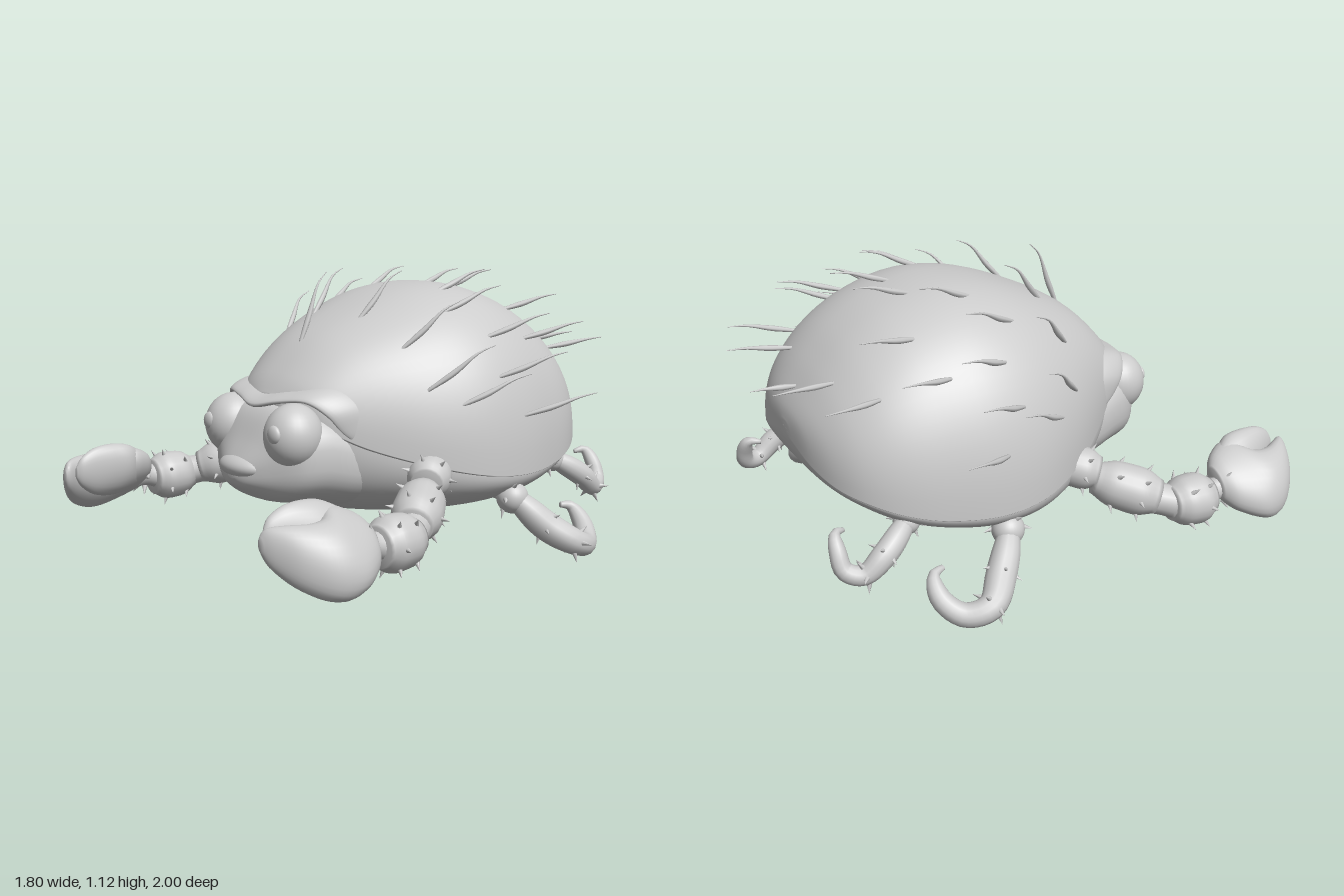
import * as THREE from 'three';

const V = (x, y, z) => new THREE.Vector3(x, y, z);
const grey = new THREE.MeshStandardMaterial({ color: 0xcccccc });
const POWER = 2.35; // roundness of the shell cross-sections

// Smooth interpolation through the rows of a table, u from 0 to 1
function sample(rows, u) {
  const last = rows.length - 1;
  const i = Math.min(Math.floor(u * last), last - 1);
  const t = u * last - i;
  const row = k => rows[THREE.MathUtils.clamp(k, 0, last)];
  return rows[0].map((_, c) => {
    const p = row(i - 1)[c], a = row(i)[c], b = row(i + 1)[c], q = row(i + 2)[c];
    const m = (b - p) / 2, n = (q - a) / 2;
    return a + t * (m + t * (3 * (b - a) - 2 * m - n + t * (2 * (a - b) + m + n)));
  });
}

// Closed skin over rings of points, with a cap at each end
function skin(rings) {
  const n = rings[0].length, pos = [], idx = [], count = rings.length;
  for (const ring of rings) for (const p of ring) pos.push(p.x, p.y, p.z);
  for (const ring of [rings[0], rings[count - 1]]) {
    const c = ring.reduce((s, p) => s.add(p), V(0, 0, 0)).divideScalar(n);
    pos.push(c.x, c.y, c.z);
  }
  for (let j = 0; j < n; j++) {
    const k = (j + 1) % n, end = (count - 1) * n;
    for (let i = 0; i < count - 1; i++) {
      const a = i * n + j, b = i * n + k;
      idx.push(a, b, a + n, b, b + n, a + n);
    }
    idx.push(count * n, k, j, count * n + 1, end + j, end + k);
  }
  const g = new THREE.BufferGeometry();
  g.setAttribute('position', new THREE.Float32BufferAttribute(pos, 3));
  g.setIndex(idx);
  g.computeVertexNormals();
  return g;
}

function add(parent, name, geometry) {
  const mesh = new THREE.Mesh(geometry, grey);
  mesh.name = name;
  parent.add(mesh);
  return mesh;
}

function ball(parent, name, [x, y, z], [rx, ry, rz]) {
  const mesh = add(parent, name, new THREE.SphereGeometry(1, 32, 20));
  mesh.position.set(x, y, z);
  mesh.scale.set(rx, ry, rz);
}

// Tube of changing radius along a smooth path
function sweep(points, radii, steps = 16, sides = 14) {
  const curve = new THREE.CatmullRomCurve3(points);
  const f = curve.computeFrenetFrames(steps, false);
  const rows = radii.map(r => [r]);
  return skin(Array.from({ length: steps + 1 }, (_, i) => {
    const c = curve.getPointAt(i / steps), r = sample(rows, i / steps)[0];
    return Array.from({ length: sides }, (_, j) => {
      const a = j / sides * Math.PI * 2;
      return c.clone().addScaledVector(f.normals[i], r * Math.cos(a))
        .addScaledVector(f.binormals[i], r * Math.sin(a));
    });
  }));
}

// Loft along z; section(row) gives centre, half width, height above and depth below
function loft(table, section, power, steps = 40, sides = 48) {
  const e = 2 / power, bend = v => Math.sign(v) * Math.abs(v) ** e;
  return skin(Array.from({ length: steps + 1 }, (_, i) => {
    const row = sample(table, i / steps);
    const { x = 0, y, w, up, down } = section(row);
    return Array.from({ length: sides }, (_, j) => {
      const a = j / sides * Math.PI * 2, s = bend(Math.sin(a));
      return V(x + w * bend(Math.cos(a)), y + s * (s > 0 ? up : down), row[0]);
    });
  }));
}

// Ring of thorns around a limb
function thorns(parent, centre, axis, radius, count, turn = 0) {
  const dir = axis.clone().normalize();
  const side = V(0, 1, 0).cross(dir).normalize();
  for (let i = 0; i < count; i++) {
    const out = side.clone().applyAxisAngle(dir, turn + i / count * Math.PI * 2);
    const thorn = add(parent, 'thorn', new THREE.ConeGeometry(0.012, 0.045, 7));
    thorn.position.copy(centre).addScaledVector(out, radius + 0.01);
    thorn.quaternion.setFromUnitVectors(V(0, 1, 0), out.addScaledVector(dir, 0.4).normalize());
  }
}

// Body stations: z, half width, top, shell rim, belly bottom
const BODY = [
  [-0.88, 0.04, 0.62, 0.57, 0.57], [-0.868, 0.2, 0.675, 0.52, 0.5], [-0.83, 0.34, 0.745, 0.48, 0.44],
  [-0.76, 0.45, 0.84, 0.45, 0.38], [-0.65, 0.535, 0.945, 0.41, 0.31], [-0.5, 0.595, 1.03, 0.375, 0.25],
  [-0.3, 0.637, 1.078, 0.36, 0.2], [-0.1, 0.62, 1.06, 0.375, 0.18], [0.1, 0.53, 0.99, 0.42, 0.185],
  [0.3, 0.385, 0.885, 0.49, 0.22], [0.44, 0.25, 0.755, 0.57, 0.28], [0.5, 0.1, 0.67, 0.6, 0.4]];

function shellHeight(x, z) {
  const i = Math.max(1, BODY.findIndex(r => r[0] >= z));
  const a = BODY[i - 1], b = BODY[i], t = (z - a[0]) / (b[0] - a[0]);
  const [, w, top, rim] = a.map((v, k) => v + t * (b[k] - v));
  return rim + (top - rim) * Math.max(0, 1 - (x / w) ** POWER) ** (1 / POWER);
}

// Curved bristle rooted in the shell and swept backwards
function bristle(parent, x, z) {
  const base = V(x, shellHeight(x, z) - 0.012, z);
  const rise = 0.115 + (z > 0 ? 0.5 : 0.12) * z;
  const back = Math.max(-0.25 + 0.35 * Math.max(0, z), -1 - z);
  const spread = x * (0.24 + 0.4 * Math.max(0, z));
  const at = (t, out, lift) => base.clone().add(V(spread * out, rise * lift, back * t));
  add(parent, 'bristle', sweep([base, at(0.35, 0.45, 0.4), at(0.7, 0.85, 0.85), at(1, 1, 1)],
    [0.007, 0.0115, 0.006, 0.0015], 12, 7));
}

function clawArm(side) {
  const arm = new THREE.Group();
  arm.name = 'clawArm';
  side.add(arm);
  const barrels = [
    [V(0.44, 0.405, 0.03), V(0.55, 0.365, 0.17), 0.082],
    [V(0.53, 0.335, 0.16), V(0.685, 0.265, 0.36), 0.094],
    [V(0.722, 0.245, 0.385), V(0.735, 0.24, 0.57), 0.1]];
  for (const [a, b, r] of barrels) {
    add(arm, 'armSegment', sweep([a, b], [0.66, 0.93, 1, 0.98, 0.72].map(k => k * r), 16, 20));
    const axis = b.clone().sub(a);
    thorns(arm, a.clone().lerp(b, 0.75), axis, r * 0.95, 7);
    thorns(arm, a.clone().lerp(b, 0.35), axis, r * 0.96, 4, 0.8);
  }
  add(arm, 'elbow', sweep([V(0.66, 0.27, 0.32), V(0.725, 0.245, 0.42)], [0.066, 0.062, 0.066], 8));
  add(arm, 'wrist', sweep([V(0.735, 0.245, 0.54), V(0.735, 0.265, 0.65)], [0.055, 0.045, 0.055], 8));
  // Pincer stations: z, x, half width, half height
  const pincer = {
    clawPalm: [[0.6, 0.735, 0.05, 0.045], [0.64, 0.74, 0.1, 0.075], [0.72, 0.75, 0.14, 0.102], [0.79, 0.793, 0.103, 0.113],
      [0.86, 0.787, 0.085, 0.108], [0.93, 0.745, 0.066, 0.09], [0.98, 0.695, 0.037, 0.06], [1, 0.675, 0.012, 0.02]],
    clawFinger: [[0.66, 0.695, 0.045, 0.07], [0.73, 0.675, 0.072, 0.095], [0.8, 0.667, 0.066, 0.105],
      [0.88, 0.655, 0.046, 0.095], [0.94, 0.645, 0.026, 0.06], [0.965, 0.645, 0.008, 0.02]]
  };
  // The pincer is tilted, its outer edge lower
  for (const [name, table] of Object.entries(pincer)) {
    const g = loft(table, ([, x, w, h]) => ({ x, y: 0.28, w, up: h, down: h }), 2.1, 28, 28);
    const p = g.attributes.position;
    for (let i = 0; i < p.count; i++) p.setY(i, p.getY(i) - 0.48 * (p.getX(i) - 0.74));
    g.computeVertexNormals();
    add(arm, name, g);
  }
  thorns(arm, V(0.735, 0.26, 0.63), V(0, 0, 1), 0.065, 6);
}

function hookLeg(side, name, points, size) {
  const leg = new THREE.Group();
  leg.name = name;
  side.add(leg);
  add(leg, 'hookedLimb', sweep(points, [0.75, 0.68, 0.95, 1, 0.85, 0.75, 0.62, 0.2].map(k => k * size), 36));
  const hip = points[1].clone().lerp(points[0], 0.1), r = size * 1.08;
  ball(leg, 'hip', hip.toArray(), [r, r, r]);
  thorns(leg, hip, points[1].clone().sub(points[0]), r, 6);
  for (const i of [2, 3]) thorns(leg, points[i], points[i + 1].clone().sub(points[i - 1]), size * 0.87, 5, i);
}

export function createModel() {
  const model = new THREE.Group();
  model.name = 'shelledCreature';

  // Shell and belly
  add(model, 'shell', loft(BODY, ([, w, top, rim]) => ({ y: rim, w, up: top - rim, down: 0.018 }), POWER, 56, 72));
  add(model, 'belly', loft(BODY, ([, w, , rim, bot]) => ({ y: rim, w: w * 0.975, up: 0.03, down: rim - bot }), 2.25, 56, 72));

  // Head stations: z, half width, top, bottom
  const head = [[0.15, 0.36, 0.6, 0.22], [0.3, 0.35, 0.62, 0.23], [0.42, 0.325, 0.65, 0.255], [0.5, 0.295, 0.64, 0.265],
    [0.55, 0.25, 0.6, 0.28], [0.6, 0.165, 0.51, 0.31], [0.64, 0.08, 0.44, 0.34], [0.655, 0.02, 0.4, 0.37]];
  add(model, 'head', loft(head, ([, w, t, b]) => ({ y: (t + b) / 2, w, up: (t - b) / 2, down: (t - b) / 2 }), 2.5));
  ball(model, 'muzzle', [0, 0.365, 0.46], [0.275, 0.06, 0.16]);
  ball(model, 'snout', [0, 0.41, 0.59], [0.13, 0.05, 0.08]);

  // Hooded brow running back into the shell: x, y, z of the front edge, thickness
  const half = [[0.355, 0.48, 0.27, 0.005], [0.335, 0.55, 0.37, 0.014], [0.312, 0.62, 0.43, 0.02],
    [0.24, 0.668, 0.48, 0.022], [0.12, 0.66, 0.52, 0.022]];
  const edge = [...half.map(([x, ...rest]) => [-x, ...rest]), [0, 0.64, 0.55, 0.022], ...half.reverse()];
  add(model, 'brow', skin(Array.from({ length: 61 }, (_, i) => {
    const [x, y, z, thick] = sample(edge, i / 60);
    const out = V(x, y - 0.42, 0).normalize();
    const front = V(-x * 0.45, (0.42 - y) * 1.1, 1).normalize();
    return Array.from({ length: 24 }, (_, j) => {
      const a = j / 24 * Math.PI * 2;
      return V(x, y, z).addScaledVector(out, thick * Math.cos(a)).addScaledVector(front, 0.08 * (Math.sin(a) - 0.85));
    });
  })));

  // Bristles along the midline
  for (const z of [0.33, -0.82]) bristle(model, 0, z);

  // Paired parts
  for (const s of [1, -1]) {
    const side = new THREE.Group();
    side.name = s > 0 ? 'leftSide' : 'rightSide';
    side.scale.x = s;
    model.add(side);

    ball(side, 'eye', [0.195, 0.538, 0.508], [0.113, 0.122, 0.112]);
    ball(side, 'pupil', [0.212, 0.555, 0.608], [0.035, 0.035, 0.018]);

    clawArm(side);
    hookLeg(side, 'middleLeg', [V(0.48, 0.31, -0.22), V(0.59, 0.255, -0.265), V(0.68, 0.15, -0.35), V(0.755, 0.085, -0.44),
      V(0.725, 0.065, -0.53), V(0.66, 0.115, -0.59), V(0.6, 0.18, -0.585), V(0.585, 0.19, -0.54)], 0.058);
    hookLeg(side, 'rearLeg', [V(0.4, 0.38, -0.54), V(0.475, 0.345, -0.63), V(0.525, 0.275, -0.74), V(0.52, 0.215, -0.82),
      V(0.49, 0.235, -0.88), V(0.46, 0.3, -0.89), V(0.42, 0.35, -0.88), V(0.4, 0.345, -0.84)], 0.046);

    const roots = [[0.14, 0.16], [0.36, 0.13], [0.34, -0.09], [0.2, -0.18], [0.08, -0.37], [0.3, -0.48], [0.19, -0.75],
      [0.38, -0.66], [0.47, -0.2], [0.46, -0.42], [0.56, -0.18], [0.48, 0.1], [0.545, 0], [0.615, -0.28]];
    for (const [x, z] of roots) bristle(side, x, z);
  }
  return model;
}
